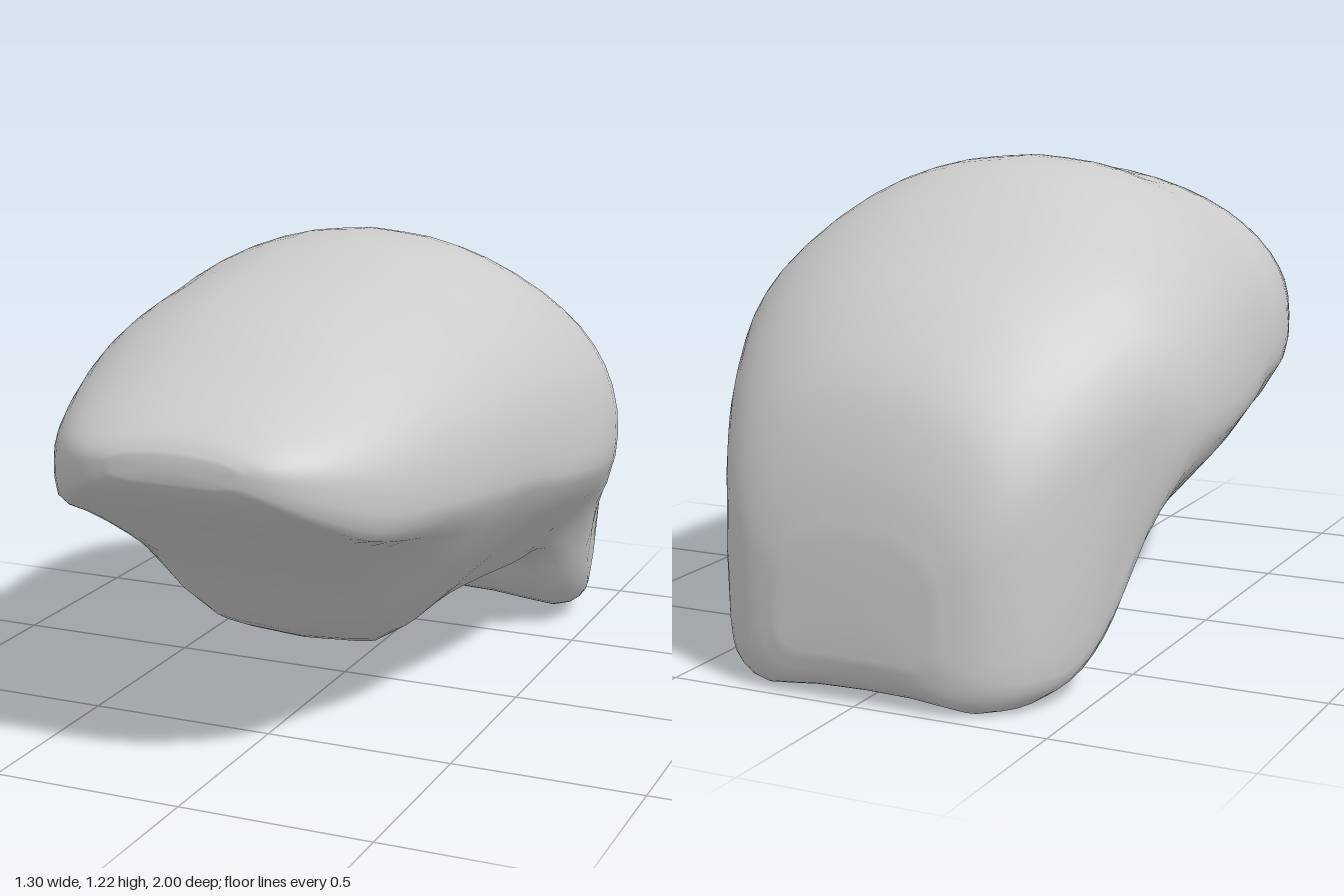
import * as THREE from 'three';

// Cross-sections from front to back:
// [z, top y, half width, widest y, brim x, brim y, underside x, underside y, underside centre y]
const SECTIONS = [
  [1.0, 0.855, 0.16, 0.825, 0.15, 0.8, 0.1, 0.79, 0.79],
  [0.975, 0.89, 0.25, 0.81, 0.24, 0.765, 0.15, 0.755, 0.755],
  [0.91, 0.935, 0.34, 0.79, 0.33, 0.715, 0.2, 0.695, 0.695],
  [0.78, 1.0, 0.44, 0.75, 0.425, 0.655, 0.25, 0.605, 0.605],
  [0.55, 1.11, 0.53, 0.73, 0.515, 0.64, 0.26, 0.45, 0.435],
  [0.36, 1.16, 0.58, 0.72, 0.565, 0.63, 0.23, 0.26, 0.235],
  [0.18, 1.19, 0.605, 0.7, 0.59, 0.62, 0.2, 0.19, 0.17],
  [0, 1.22, 0.63, 0.67, 0.615, 0.59, 0.26, 0.24, 0.22],
  [-0.22, 1.21, 0.65, 0.64, 0.63, 0.56, 0.37, 0.28, 0.31],
  [-0.44, 1.125, 0.635, 0.64, 0.605, 0.5, 0.4, 0.265, 0.31],
  [-0.6, 1.03, 0.565, 0.62, 0.525, 0.34, 0.42, 0.09, 0.11],
  [-0.75, 0.925, 0.495, 0.54, 0.475, 0.13, 0.39, 0.02, 0.04],
  [-0.9, 0.76, 0.4, 0.42, 0.4, 0.11, 0.32, 0, 0.015],
  [-0.97, 0.58, 0.31, 0.34, 0.31, 0.13, 0.25, 0.03, 0.04],
  [-1.0, 0.4, 0.2, 0.28, 0.2, 0.16, 0.15, 0.12, 0.12],
];
const HALF = 24; // points on one side of a ring
const RINGS = 57;

// One side of a cross-section, from the crown around the brim to the underside centre
function halfSection([z, top, w, wideY, brimX, brimY, botX, botY, midY]) {
  const pts = [];
  for (let k = 0; k <= 6; k++) {
    const t = (k / 6) * Math.PI / 2;
    pts.push(new THREE.Vector3(w * Math.sin(t), wideY + (top - wideY) * Math.pow(Math.max(0, Math.cos(t)), 0.9), z));
  }
  // The flank cuts inward ahead of the back lobe and stays full on it
  const full = z < -0.55 ? 0.78 : 0.48;
  pts.push(new THREE.Vector3(brimX, brimY, z));
  pts.push(new THREE.Vector3(THREE.MathUtils.lerp(botX, brimX, full), brimY * 0.42 + botY * 0.58, z));
  pts.push(new THREE.Vector3(botX, botY, z));
  pts.push(new THREE.Vector3(botX * 0.5, botY * 0.3 + midY * 0.7, z));
  pts.push(new THREE.Vector3(0, midY, z));
  return new THREE.CatmullRomCurve3(pts).getPoints(HALF);
}

// Closed skin lofted through the mirrored cross-sections
function loftedShell() {
  const halves = SECTIONS.map(halfSection);
  const columns = [];
  for (let j = 0; j <= HALF; j++) {
    columns.push(new THREE.CatmullRomCurve3(halves.map((h) => h[j])).getPoints(RINGS - 1));
  }
  const n = HALF * 2;
  const positions = [];
  const indices = [];
  for (let i = 0; i < RINGS; i++) {
    for (let j = 0; j < n; j++) {
      const p = columns[j <= HALF ? j : n - j][i];
      positions.push(j <= HALF ? p.x : -p.x, Math.max(0, p.y), p.z);
    }
  }
  for (let i = 0; i < RINGS - 1; i++) {
    for (let j = 0; j < n; j++) {
      const a = i * n + j;
      const b = i * n + ((j + 1) % n);
      indices.push(a, b, a + n, b, b + n, a + n);
    }
  }
  // Close the front tip and the back
  for (const ring of [0, RINGS - 1]) {
    const centre = positions.length / 3;
    const y = (columns[0][ring].y + columns[HALF][ring].y) / 2;
    positions.push(0, y, columns[0][ring].z);
    for (let j = 0; j < n; j++) {
      const a = ring * n + j;
      const b = ring * n + ((j + 1) % n);
      if (ring === 0) indices.push(centre, b, a);
      else indices.push(centre, a, b);
    }
  }
  const geometry = new THREE.BufferGeometry();
  geometry.setAttribute('position', new THREE.Float32BufferAttribute(positions, 3));
  geometry.setIndex(indices);
  geometry.computeVertexNormals();
  return geometry;
}

export function createModel() {
  const group = new THREE.Group();
  group.name = 'curvedShell';
  const shell = new THREE.Mesh(loftedShell(), new THREE.MeshStandardMaterial({ color: 0xcccccc }));
  shell.name = 'shell';
  group.add(shell);
  return group;
}
